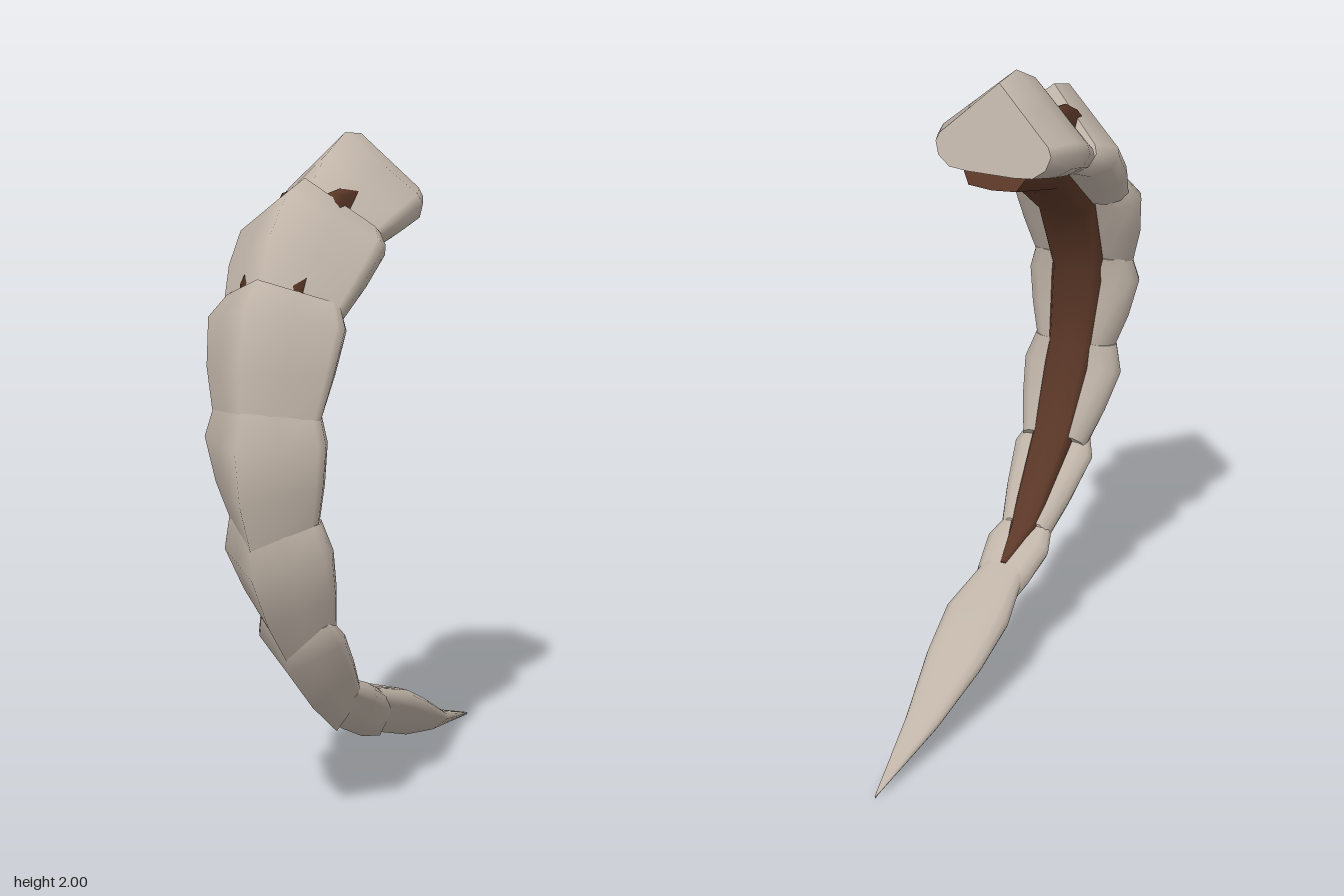
import * as THREE from 'three';

// Half cross-sections from ridge to belly: [fraction of half width, 0 = inner side .. 1 = outer ridge]
const PLATE = [[0, 1], [0.5, 0.67], [0.94, 0.38], [1, 0.28], [0.93, 0.13], [0.72, 0.02], [0.4, 0], [0, 0]];
const CORE = [[0, 0.9], [0.6, 1], [1, 0.95], [1, 0.25], [0.75, 0.03], [0, 0]];

// The tail drifts sideways as it descends
const centreX = (y) => 0.08 * THREE.MathUtils.smoothstep(1.6 - y, 0, 1.4);

// Lofts a mirrored section through rings of [outer z, outer y, inner z, inner y, half width]
function loft(half, rings) {
  const section = [...half, ...half.slice(1, -1).reverse().map(([u, t]) => [-u, t])];
  const n = section.length;
  const pos = [], index = [];
  const addRing = ([oz, oy, iz, iy, w]) => {
    const base = pos.length / 3;
    const cx = centreX((oy + iy) / 2);
    for (const [u, t] of section) pos.push(cx + u * w, iy + (oy - iy) * t, iz + (oz - iz) * t);
    return base;
  };
  // Skin
  const bases = rings.map(addRing);
  for (let k = 0; k < bases.length - 1; k++) {
    for (let i = 0; i < n; i++) {
      const j = (i + 1) % n;
      const a = bases[k] + i, b = bases[k] + j, c = bases[k + 1] + i, d = bases[k + 1] + j;
      index.push(a, c, b, b, c, d);
    }
  }
  // Flat end caps with their own vertices, fanned from the ridge
  const first = addRing(rings[0]);
  const last = addRing(rings[rings.length - 1]);
  for (let i = 1; i < n - 1; i++) {
    index.push(first, first + i, first + i + 1, last, last + i + 1, last + i);
  }
  const geo = new THREE.BufferGeometry();
  geo.setAttribute('position', new THREE.Float32BufferAttribute(pos, 3));
  geo.setIndex(index);
  geo.computeVertexNormals();
  return geo;
}

// Ring halfway between the widest ring and the end, swollen outwards
function bulge(a, b) {
  const [oz, oy, iz, iy, w] = a.map((v, i) => (v + b[i]) / 2);
  return [oz + (oz - iz) * 0.08, oy + (oy - iy) * 0.08, iz, iy, w * 1.04];
}

export function createModel() {
  const group = new THREE.Group();
  const shell = new THREE.MeshStandardMaterial({ color: 0xc0b4a8 });
  shell.name = 'bone shell';
  const flesh = new THREE.MeshStandardMaterial({ color: 0x5c3828 });
  flesh.name = 'brown flesh';

  const add = (name, section, material, ...rings) => {
    const mesh = new THREE.Mesh(loft(section, rings), material);
    mesh.name = name;
    group.add(mesh);
  };
  const addPlate = (name, start, widest, end) =>
    add(name, PLATE, shell, start, widest, bulge(widest, end), end);

  // Overlapping armour plates from the root downwards
  addPlate('rootPlate', [-0.08, 1.99, -0.14, 1.74, 0.18], [0.03, 2, -0.05, 1.72, 0.222], [0.27, 1.85, 0.15, 1.67, 0.18]);
  addPlate('secondPlate', [0.29, 1.89, 0.14, 1.67, 0.185], [0.4, 1.86, 0.19, 1.65, 0.23], [0.57, 1.62, 0.38, 1.5, 0.185]);
  addPlate('thirdPlate', [0.58, 1.64, 0.37, 1.53, 0.175], [0.66, 1.57, 0.4, 1.48, 0.212], [0.71, 1.22, 0.5, 1.27, 0.165]);
  addPlate('fourthPlate', [0.7, 1.31, 0.49, 1.28, 0.16], [0.75, 1.19, 0.505, 1.2, 0.187], [0.7, 0.9, 0.5, 0.97, 0.13]);
  addPlate('fifthPlate', [0.7, 0.95, 0.5, 0.98, 0.14], [0.71, 0.83, 0.49, 0.9, 0.167], [0.53, 0.54, 0.42, 0.68, 0.11]);
  addPlate('sixthPlate', [0.55, 0.61, 0.46, 0.69, 0.11], [0.54, 0.52, 0.42, 0.64, 0.137], [0.25, 0.26, 0.25, 0.44, 0.08]);
  addPlate('lastPlate', [0.29, 0.31, 0.27, 0.44, 0.085], [0.22, 0.26, 0.2, 0.41, 0.108], [-0.05, 0.15, 0.02, 0.32, 0.065]);

  // Long pointed stinger
  add('stinger', PLATE, shell,
    [0.04, 0.21, 0.1, 0.36, 0.075], [-0.07, 0.155, -0.09, 0.3, 0.108], [-0.25, 0.09, -0.24, 0.225, 0.095],
    [-0.46, 0.04, -0.46, 0.11, 0.055], [-0.755, 0, -0.755, 0.008, 0.002]);

  // Soft core showing along the inner curve and between the plates
  add('softCore', CORE, flesh,
    [-0.05, 1.87, -0.13, 1.69, 0.1], [0.24, 1.85, 0.15, 1.61, 0.1], [0.51, 1.62, 0.34, 1.47, 0.095],
    [0.62, 1.26, 0.47, 1.24, 0.088], [0.62, 0.95, 0.48, 0.97, 0.08], [0.5, 0.64, 0.41, 0.69, 0.068],
    [0.26, 0.37, 0.25, 0.455, 0.045], [0.1, 0.28, 0.1, 0.365, 0.012]);

  return group;
}
